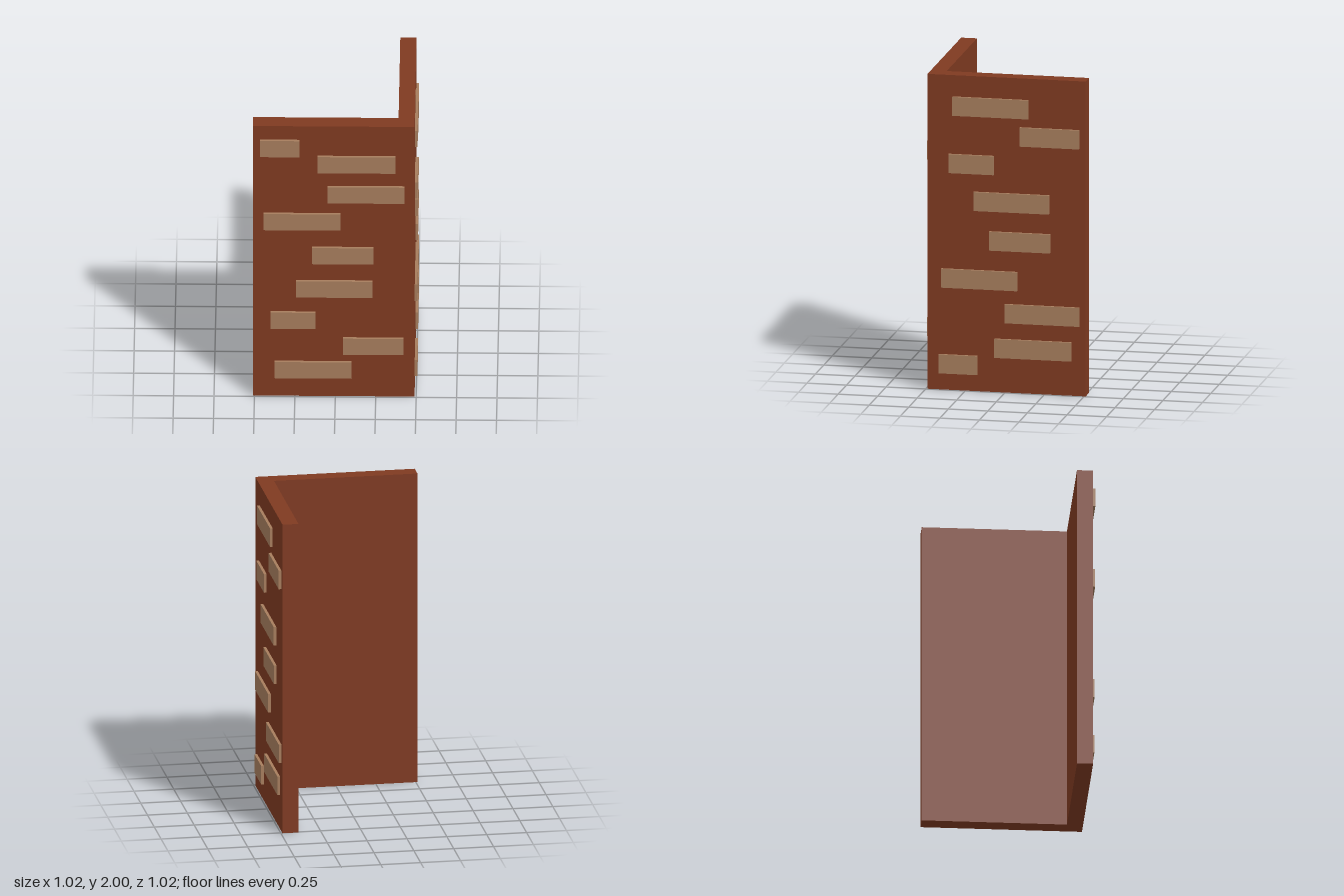
import * as THREE from 'three';

export function createModel() {
  const model = new THREE.Group();
  model.name = 'brickCornerWall';
  const wallColor = new THREE.MeshStandardMaterial({ color: 0x7f3a21 });
  wallColor.name = 'redBrown';
  const brickColor = new THREE.MeshStandardMaterial({ color: 0xa67d5d });
  brickColor.name = 'tan';

  // L-shaped plan, raised to full height
  const lo = -0.51, inner = 0.39, outer = 0.49;
  const plan = new THREE.Shape([
    [lo, -outer], [outer, -outer], [outer, -lo],
    [inner, -lo], [inner, -inner], [lo, -inner],
  ].map(([x, y]) => new THREE.Vector2(x, y)));
  const wallGeo = new THREE.ExtrudeGeometry(plan, { depth: 2, bevelEnabled: false });
  wallGeo.rotateX(-Math.PI / 2);
  const wall = new THREE.Mesh(wallGeo, wallColor);
  wall.name = 'cornerWall';
  model.add(wall);

  // Raised bricks: start and end along the wall, bottom height
  const proud = 0.017, height = 0.12;
  function brickFace(name, bricks) {
    const face = new THREE.Group();
    face.name = name;
    for (const [a, b, y] of bricks) {
      const brick = new THREE.Mesh(new THREE.BoxGeometry(b - a, height, proud), brickColor);
      brick.position.set((a + b) / 2, y + height / 2, outer + proud / 2);
      brick.name = 'brick';
      face.add(brick);
    }
    model.add(face);
    return face;
  }

  brickFace('frontBricks', [
    [-0.465, -0.22, 1.78], [-0.11, 0.373, 1.663], [-0.047, 0.427, 1.44],
    [-0.445, 0.033, 1.238], [-0.143, 0.237, 0.988], [-0.243, 0.23, 0.74],
    [-0.402, -0.122, 0.507], [0.047, 0.423, 0.317], [-0.375, 0.1, 0.14],
  ]);

  // Turned a quarter so the face looks along +x (along-wall values run towards -z)
  const side = brickFace('leftBricks', [
    [-0.33, 0.15, 1.745], [0.095, 0.47, 1.57], [-0.355, -0.07, 1.38],
    [-0.197, 0.28, 1.147], [-0.097, 0.287, 0.9], [-0.4, 0.08, 0.65],
    [0, 0.472, 0.443], [-0.065, 0.42, 0.22], [-0.418, -0.173, 0.105],
  ]);
  side.rotation.y = Math.PI / 2;

  return model;
}
